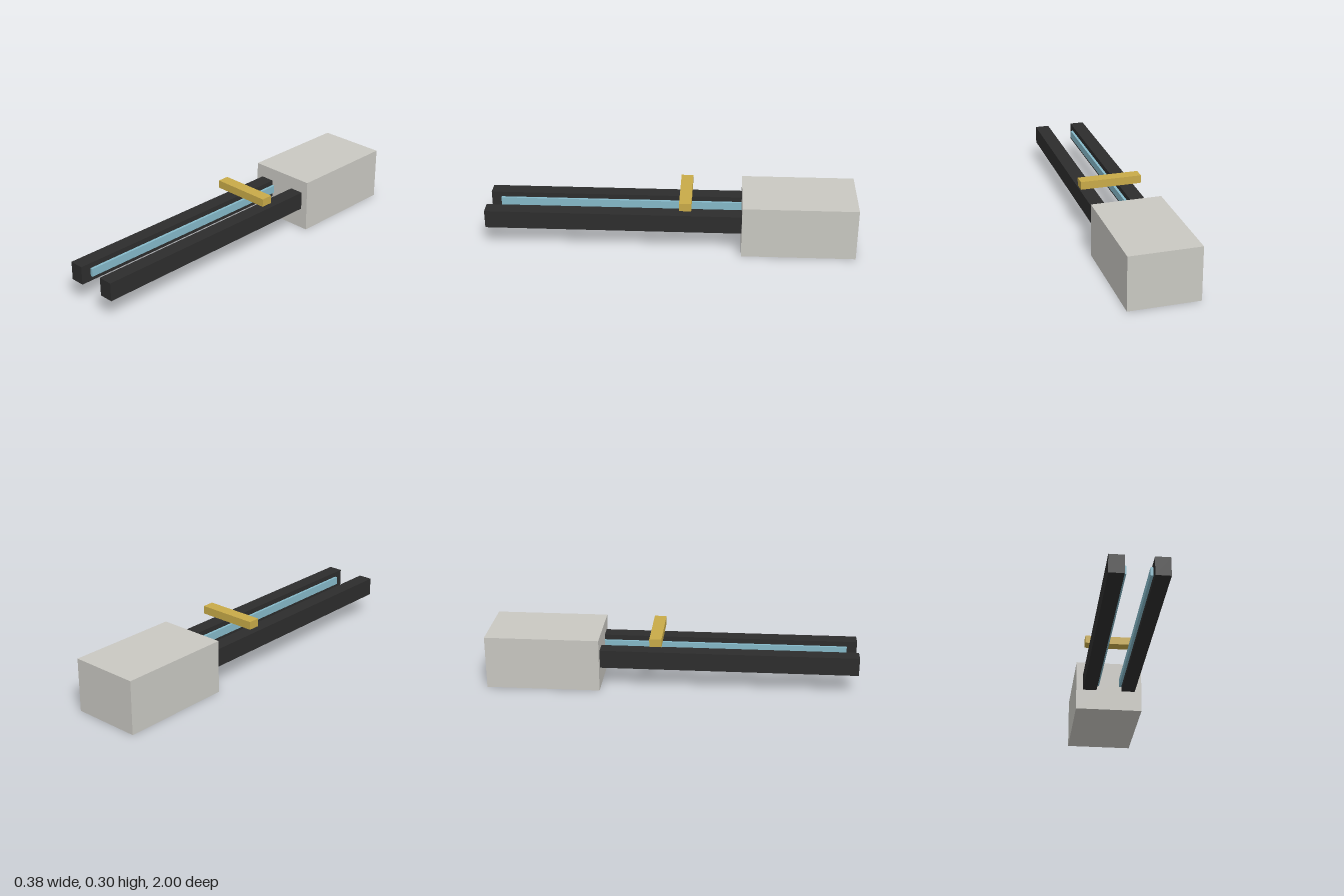
import * as THREE from 'three';

const material = (name, color) => {
  const m = new THREE.MeshStandardMaterial({ color });
  m.name = name;
  return m;
};

// Box given by its [min, max] range on each axis
function block(name, mat, [x0, x1], [y0, y1], [z0, z1]) {
  const mesh = new THREE.Mesh(new THREE.BoxGeometry(x1 - x0, y1 - y0, z1 - z0), mat);
  mesh.position.set((x0 + x1) / 2, (y0 + y1) / 2, (z0 + z1) / 2);
  mesh.name = name;
  return mesh;
}

export function createModel() {
  const grey = material('warm grey', 0xc9c8c2);
  const black = material('charcoal', 0x2d2d2d);
  const blue = material('pale blue', 0x85b9c9);
  const gold = material('gold', 0xc8aa48);

  const group = new THREE.Group();
  group.name = 'twinRailDevice';

  // Rear housing
  group.add(block('housing', grey, [-0.189, 0.189], [0, 0.29], [-1, -0.385]));

  // Two long rails, each with a strip on its inner face
  for (const [side, s] of [['left', 1], ['right', -1]]) {
    const span = (a, b) => (s > 0 ? [a, b] : [-b, -a]);
    group.add(block(side + 'Rail', black, span(0.072, 0.15), [0.118, 0.218], [-0.4, 1]));
    group.add(block(side + 'InnerStrip', blue, span(0.058, 0.08), [0.146, 0.19], [-0.4, 0.945]));
  }

  // Crossbar above the rails
  group.add(block('crossbar', gold, [-0.167, 0.167], [0.257, 0.301], [-0.115, -0.05]));

  return group;
}
